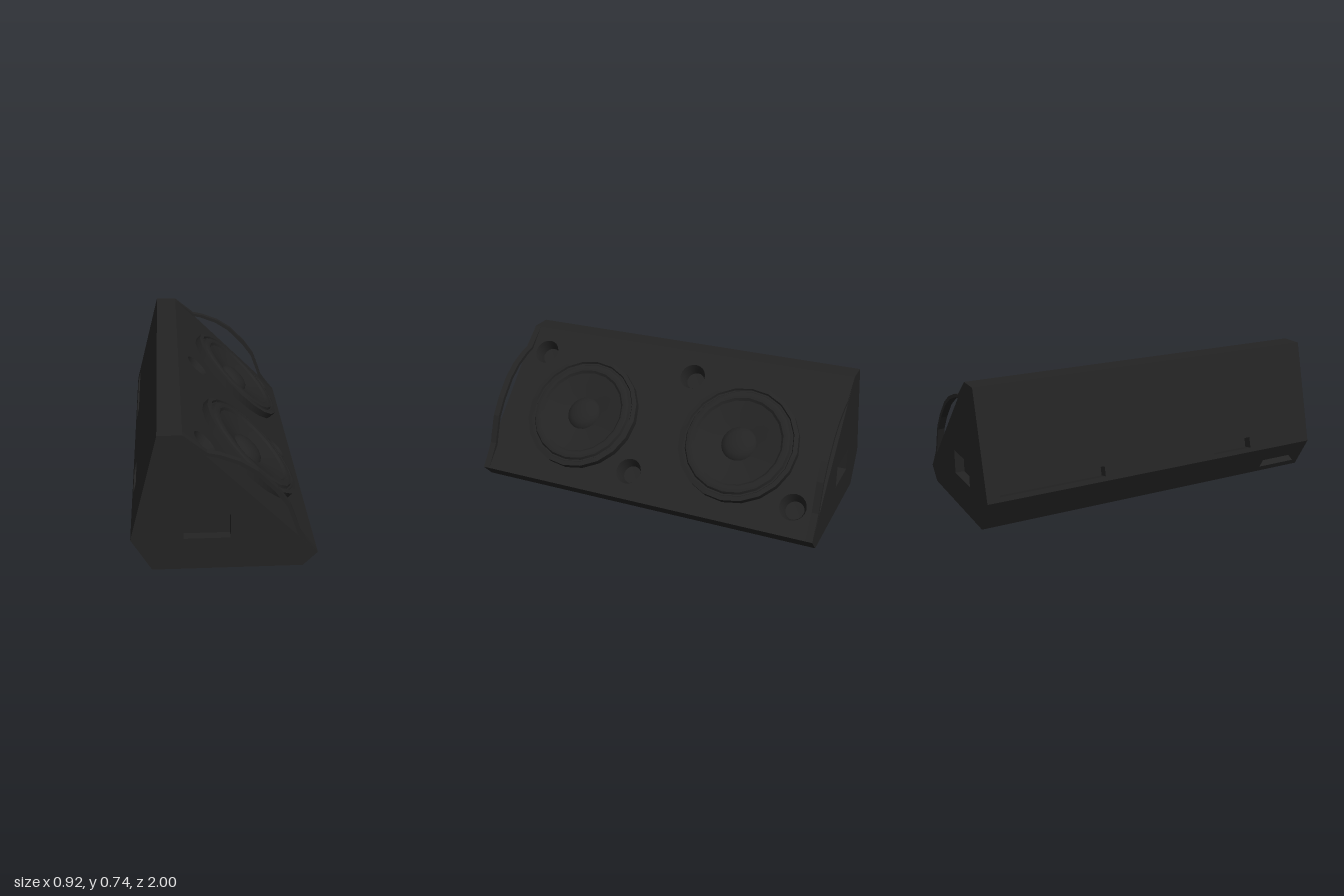
import * as THREE from 'three';
import { toCreasedNormals } from 'three/addons/utils/BufferGeometryUtils.js';

const blackPaint = new THREE.MeshStandardMaterial({ color: 0x232323 });
blackPaint.name = 'blackPaint';

// Cabinet cross-section, counter-clockwise from the bottom back corner
const PROFILE = [[-0.36, 0], [0.39, 0], [0.462, 0.075], [-0.2, 0.74], [-0.32, 0.74], [-0.462, 0.175]];
const SEGMENTS = 20;

function add(parent, name, geometry, x = 0, y = 0, z = 0) {
  const mesh = new THREE.Mesh(geometry, blackPaint);
  mesh.name = name;
  mesh.position.set(x, y, z);
  parent.add(mesh);
  return mesh;
}

// Group whose local z is the outward normal of a cabinet face
function faceFrame(name, origin, u, n) {
  const group = new THREE.Group();
  group.name = name;
  const v = new THREE.Vector3().crossVectors(n, u);
  group.quaternion.setFromRotationMatrix(new THREE.Matrix4().makeBasis(u, v, n));
  group.position.copy(origin);
  return group;
}

function rectPath(x0, y0, x1, y1) {
  return [[x0, y0], [x1, y0], [x1, y1], [x0, y1]].map(([x, y]) => new THREE.Vector2(x, y));
}

// Box seen from inside, open at its front
function recessGeometry(w, h, depth) {
  const geo = new THREE.BoxGeometry(w, h, depth);
  geo.setIndex(Array.from(geo.index.array).filter((_, i) => i < 24 || i >= 30).reverse());
  geo.clearGroups();
  const normal = geo.attributes.normal;
  for (let i = 0; i < normal.array.length; i++) normal.array[i] *= -1;
  return geo;
}

// Flat face with rectangular recesses [x0, y0, x1, y1, depth] and round ports [x, y, radius]
function addPanel(group, outline, recesses = [], ports = []) {
  const shape = new THREE.Shape(outline);
  for (const [x0, y0, x1, y1, depth] of recesses) {
    shape.holes.push(new THREE.Path(rectPath(x0, y0, x1, y1)));
    add(group, 'recess', recessGeometry(x1 - x0, y1 - y0, depth), (x0 + x1) / 2, (y0 + y1) / 2, -depth / 2);
  }
  for (const [x, y, r] of ports) {
    shape.holes.push(new THREE.Path().absarc(x, y, r, 0, Math.PI * 2, true));
    add(group, 'port', turned([[r, 0], [r * 0.82, -0.03], [r * 0.7, -0.07], [0, -0.075]]), x, y, 0);
  }
  add(group, 'panel', new THREE.ShapeGeometry(shape, SEGMENTS / 2));
}

// Lathe turned about local z, points are [radius, height]
function turned(points) {
  const geo = new THREE.LatheGeometry(points.map(([r, h]) => new THREE.Vector2(r, h)), SEGMENTS);
  geo.rotateX(Math.PI / 2);
  return toCreasedNormals(geo, 0.5);
}

function addSpeaker(parent, x, y) {
  const speaker = new THREE.Group();
  speaker.name = 'speaker';
  speaker.position.set(x, y, 0);
  add(speaker, 'rim', turned([[0.336, 0], [0.336, 0.039], [0.312, 0.043], [0.306, 0.032], [0.298, 0.032]]));
  add(speaker, 'surround', turned([[0.298, 0.032], [0.29, 0.046], [0.272, 0.051], [0.254, 0.048], [0.242, 0.036]]));
  add(speaker, 'cone', turned([[0.242, 0.036], [0.112, 0.008], [0.098, 0.004]]));
  add(speaker, 'dustCap', turned([[0.098, 0.004], [0.088, 0.018], [0.066, 0.03], [0.035, 0.037], [0, 0.039]]));
  parent.add(speaker);
}

export function createModel() {
  const model = new THREE.Group();
  model.name = 'stageMonitor';

  // Long faces; local x runs along the profile edge and local y along z
  const names = ['bottom', 'toe', 'baffle', 'top', 'back', 'lowerBack'];
  const recesses = {
    back: [[0.503, -0.93, 0.557, -0.34, 0.05], [0.497, 0.34, 0.557, 0.59, 0.05]],
    lowerBack: [[0.06, 0.72, 0.165, 0.96, 0.04]],
  };
  const ports = {
    baffle: [[0.782, 0.86, 0.073], [0.782, -0.1, 0.073], [0.162, 0.1, 0.073], [0.162, -0.855, 0.073]],
  };
  names.forEach((name, i) => {
    const [ax, ay] = PROFILE[i];
    const [bx, by] = PROFILE[(i + 1) % PROFILE.length];
    const length = Math.hypot(bx - ax, by - ay);
    const u = new THREE.Vector3(bx - ax, by - ay, 0).normalize();
    const face = faceFrame(name, new THREE.Vector3(ax, ay, 0), u, new THREE.Vector3(u.y, -u.x, 0));
    addPanel(face, rectPath(0, -1, length, 1), recesses[name], ports[name]);
    if (name === 'baffle') for (const z of [0.483, -0.477]) addSpeaker(face, 0.442, z);
    model.add(face);
  });

  // End panels with a hand recess
  for (const side of [1, -1]) {
    const end = faceFrame(side > 0 ? 'frontEnd' : 'rearEnd', new THREE.Vector3(0, 0, side),
      new THREE.Vector3(side, 0, 0), new THREE.Vector3(0, 0, side));
    const xs = [-0.203 * side, 0.028 * side].sort((a, b) => a - b);
    addPanel(end, PROFILE.map(([x, y]) => new THREE.Vector2(x * side, y)), [[xs[0], 0.175, xs[1], 0.305, 0.05]]);
    model.add(end);
  }

  // Bowed strap along each end of the baffle
  const bow = [[-0.2, 0.74], [-0.085, 0.645], [-0.025, 0.632], [0.075, 0.593], [0.16, 0.538], [0.255, 0.44],
    [0.318, 0.352], [0.355, 0.25], [0.372, 0.197], [0.4, 0.155], [0.462, 0.075]];
  const inner = bow.map(([x, y]) => [x - 0.015, y - 0.014]).reverse();
  const strapShape = new THREE.Shape([...bow, ...inner].map(([x, y]) => new THREE.Vector2(x, y)));
  for (const z of [0.963, -0.999]) {
    add(model, 'strap', new THREE.ExtrudeGeometry(strapShape, { depth: 0.036, bevelEnabled: false }), 0, 0, z);
  }
  return model;
}
